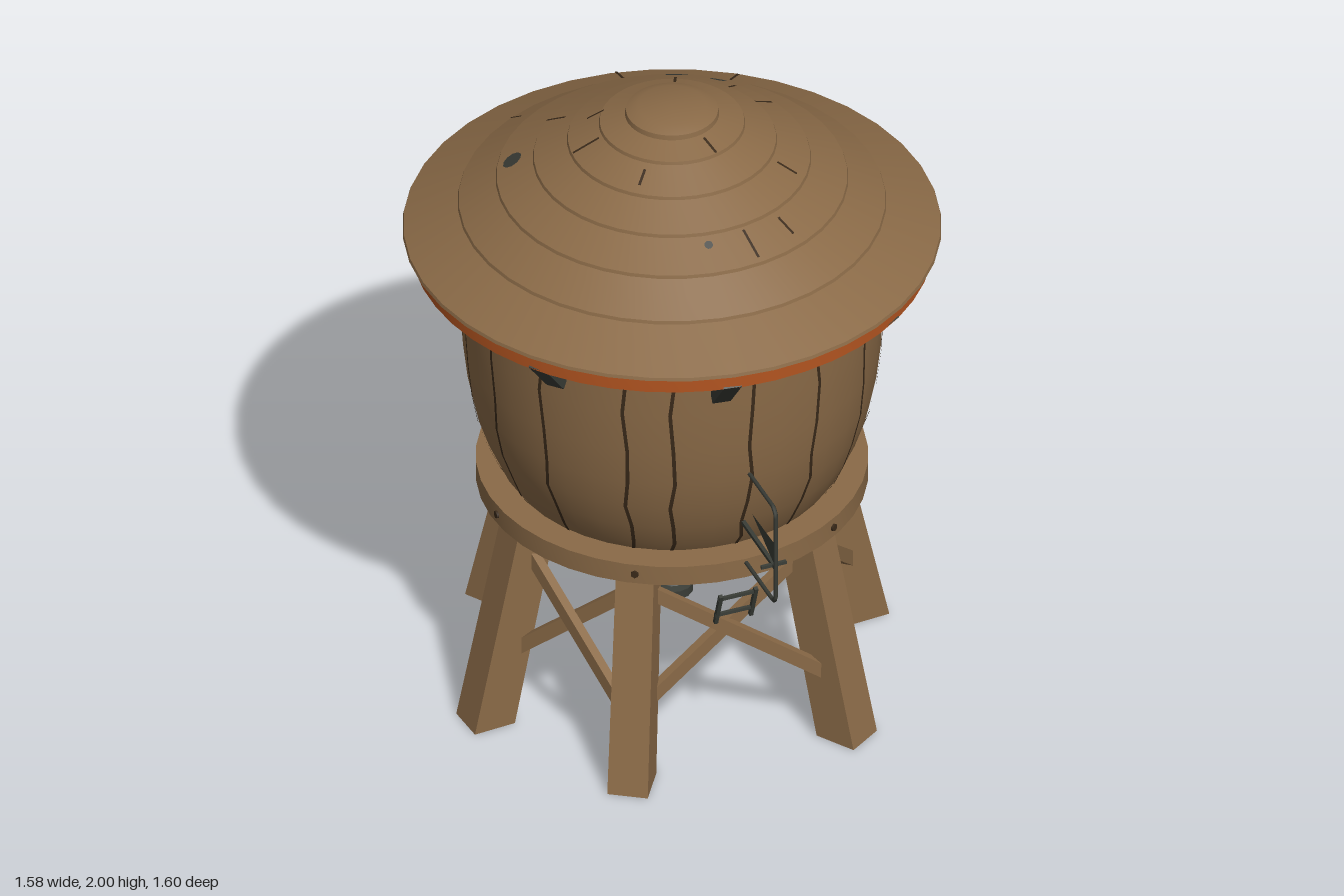
import * as THREE from 'three';
import { toCreasedNormals } from 'three/addons/utils/BufferGeometryUtils.js';

const mat = (name, color, side = THREE.FrontSide) => {
  const m = new THREE.MeshStandardMaterial({ color, side });
  m.name = name;
  return m;
};
const RAD = Math.PI / 180;

export function createModel() {
  const wood = mat('wood', 0x8a6a47);
  const rust = mat('orangePaint', 0xb25420);
  const iron = mat('darkIron', 0x3a3d37, THREE.DoubleSide);
  const groove = mat('grooveBrown', 0x3a2a1a, THREE.DoubleSide);

  const model = new THREE.Group();
  model.name = 'waterTower';
  const tower = new THREE.Group();
  tower.name = 'tower';
  tower.position.z = -0.01;
  model.add(tower);

  const add = (name, geo, material, parent = tower) => {
    const m = new THREE.Mesh(geo, material);
    m.name = name;
    parent.add(m);
    return m;
  };
  // azimuth runs from +z towards +x, in degrees
  const polar = (az, r, y) => new THREE.Vector3(r * Math.sin(az * RAD), y, r * Math.cos(az * RAD));
  const lathe = (name, pts, material, from = 0, sweep = 360, segs = 40) => add(name, toCreasedNormals(
    new THREE.LatheGeometry(pts.map(p => new THREE.Vector2(...p)), segs, from * RAD, sweep * RAD), 0.5), material);
  // straight square timber or bar between two points
  const beam = (name, a, b, w, h, material, parent = tower) => {
    const m = add(name, new THREE.BoxGeometry(w, h, a.distanceTo(b)), material, parent);
    m.position.copy(a).lerp(b, 0.5);
    m.lookAt(b);
    return m;
  };
  // thin strip lying on a turned surface, following its profile
  const ribbon = (name, pts, az, width, material, wobble = 0) => {
    const pos = [], idx = [];
    pts.forEach(([r, y], i) => {
      const mid = az + wobble * Math.sin(i * 2.1 + az);
      const half = width / 2 / r / RAD;
      for (const s of [-1, 1]) pos.push(...polar(mid + s * half, r + 0.004, y + 0.003).toArray());
      if (i) idx.push(2 * i - 2, 2 * i - 1, 2 * i + 1, 2 * i - 2, 2 * i + 1, 2 * i);
    });
    const g = new THREE.BufferGeometry();
    g.setAttribute('position', new THREE.Float32BufferAttribute(pos, 3));
    g.setIndex(idx);
    g.computeVertexNormals();
    return add(name, g, material);
  };

  // Tank
  const tankProfile = [[0.475, 0.73], [0.515, 0.79], [0.55, 0.87], [0.58, 0.96], [0.6, 1.06],
    [0.614, 1.18], [0.62, 1.32], [0.621, 1.45], [0.62, 1.6]];
  lathe('tank', tankProfile, wood);
  lathe('tankFloor', [[0, 0.7], [0.5, 0.7]], iron);
  const wide = [93, 114, 157, 207];
  for (const az of [0, 21, 43, 60, 76, 93, 114, 128, 146, 157, 172, 190, 207, 225, 245, 262, 280, 300, 325, 338]) {
    const big = wide.includes(az);
    ribbon('plankSeam', tankProfile, az, big ? 0.022 : 0.011, big ? iron : groove, 0.8);
  }

  // Worn patch under the eaves at the back, with a ragged lower edge
  const patch = new THREE.LatheGeometry(
    [new THREE.Vector2(0.627, 1.47), new THREE.Vector2(0.627, 1.56)], 32, 88 * RAD, 112 * RAD);
  const pp = patch.attributes.position;
  for (let i = 0; i < pp.count; i += 2) pp.setY(i, 1.475 + 0.025 * Math.sin(i * 0.9) + 0.012 * Math.sin(i * 2.3));
  add('wornPatch', patch, iron);

  // Stepped roof: each tier overlaps the one below with a small lip
  const tiers = [[0.79, 1.565], [0.628, 1.655], [0.517, 1.74], [0.408, 1.81], [0.308, 1.875], [0.215, 1.935]];
  const roof = [[0.6, 1.6], [0.755, 1.555]];
  tiers.forEach(([r, y], i) => {
    const next = tiers[i + 1] || [0.135, 1.975];
    roof.push([r, y], [r - 0.003, y + 0.01], [next[0] - 0.02, next[1] + 0.003]);
  });
  lathe('roof', roof, wood);
  lathe('roofCap', [[0.12, 1.965], [0.138, 1.97], [0.135, 1.985], [0.1, 2], [0, 2]], wood);

  // Height of the roof surface at a radius
  const roofY = r => {
    let i = tiers.findIndex((t, k) => !tiers[k + 1] || r > tiers[k + 1][0]);
    const a = tiers[i], b = tiers[i + 1] || [0.135, 1.975];
    return a[1] + 0.01 + (b[1] - a[1] - 0.007) * (a[0] - r) / (a[0] - b[0] + 0.02);
  };
  // Dark holes in the shingles
  for (const [x, z, s] of [[0.19, -0.43, 0.036], [0.29, -0.35, 0.026], [-0.42, -0.21, 0.032], [-0.06, 0.43, 0.013]]) {
    const r = Math.hypot(x, z);
    const hole = add('roofHole', new THREE.CircleGeometry(s, 10), iron);
    hole.position.set(x, roofY(r) + 0.005, z);
    hole.lookAt(new THREE.Vector3(x + 0.55 * x / r, roofY(r) + 0.005 + 0.85, z + 0.55 * z / r));
  }
  // Short cracks between shingles
  for (const [az, r0, r1] of [[170, 0.64, 0.77], [143, 0.66, 0.76], [208, 0.57, 0.61], [223, 0.34, 0.4],
    [236, 0.2, 0.25], [128, 0.32, 0.37], [108, 0.31, 0.38], [318, 0.23, 0.28], [25, 0.42, 0.48],
    [8, 0.41, 0.5], [15, 0.15, 0.21], [50, 0.32, 0.38], [155, 0.16, 0.21], [265, 0.22, 0.3]]) {
    ribbon('roofCrack', [[r1, roofY(r1)], [r0, roofY(r0)]], az, 0.008, groove);
  }

  // Painted band below the eaves, bare wood for a stretch at the back
  const band = [[0.725, 1.51], [0.767, 1.51], [0.767, 1.566], [0.725, 1.566], [0.725, 1.51]];
  lathe('eaveBandPainted', band, rust, 215, 292);
  lathe('eaveBandBare', band, wood, 147, 68, 8);

  // Brackets holding the eaves
  for (let k = 0; k < 8; k++) {
    const az = -9 + 45 * k;
    beam('eaveBracket', polar(az, 0.625, 1.385), polar(az, 0.745, 1.535), 0.055, 0.05, iron);
  }

  // Platform ring
  lathe('platformRing', [[0.43, 0.685], [0.575, 0.685], [0.575, 0.75], [0.43, 0.75], [0.43, 0.685]], wood);

  // Splayed legs: foot and top positions, in order around the tower
  const legs = [
    [0.34, 0.52, 0.26, 0.38], [0.615, -0.05, 0.465, -0.04], [0.34, -0.535, 0.26, -0.385],
    [-0.34, -0.535, -0.26, -0.385], [-0.61, 0.05, -0.465, 0.04], [-0.34, 0.52, -0.26, 0.38]];
  const legAt = (l, y) => new THREE.Vector3(
    THREE.MathUtils.lerp(l[0], l[2], y / 0.69), y, THREE.MathUtils.lerp(l[1], l[3], y / 0.69));
  legs.forEach((l, i) => {
    const az = Math.atan2(l[0], l[1]);
    const g = new THREE.BoxGeometry(0.115, 0.69, 0.125).rotateY(az).translate(0, 0.345, 0);
    const p = g.attributes.position;
    for (let k = 0; k < p.count; k++) {
      const c = legAt(l, p.getY(k));
      const s = 1.05 - 0.1 * p.getY(k);
      p.setXYZ(k, p.getX(k) * s + c.x, c.y, p.getZ(k) * s + c.z);
    }
    g.computeVertexNormals();
    add('leg', g, [wood, wood, wood, iron, wood, wood]);
    const bolt = add('ringBolt', new THREE.CylinderGeometry(0.012, 0.012, 0.012, 6).rotateX(Math.PI / 2), groove);
    bolt.position.copy(polar(az / RAD, 0.574, 0.718));
    bolt.rotation.y = az;
    // Cross braces to the next leg
    const n = legs[(i + 1) % 6];
    const out = legAt(l, 0.4).add(legAt(n, 0.4)).setY(0).normalize().multiplyScalar(0.012);
    beam('crossBrace', legAt(l, 0.61).add(out), legAt(n, 0.2).add(out), 0.028, 0.042, wood);
    beam('crossBrace', legAt(l, 0.2).sub(out), legAt(n, 0.61).sub(out), 0.028, 0.042, wood);
  });

  // Drain pipe under the tank
  lathe('drainPipe', [[0, 0.25], [0.04, 0.25], [0.045, 0.27], [0.063, 0.272], [0.063, 0.3], [0.04, 0.305],
    [0.027, 0.32], [0.027, 0.61], [0.1, 0.612], [0.13, 0.64], [0.13, 0.7]], iron, 0, 360, 14);

  // Bent ladder frame on the front
  const ladder = new THREE.Group();
  ladder.name = 'frontLadder';
  model.add(ladder);
  const v = (x, y, z) => new THREE.Vector3(x, y, z);
  const path = new THREE.CurvePath();
  const corners = [v(0, 1.07, 0.57), v(0, 1.072, 0.775), v(0, 1.055, 0.792), v(0, 0.755, 0.792),
    v(0, 0.737, 0.775), v(0, 0.735, 0.48)];
  corners.slice(1).forEach((c, i) => path.add(new THREE.LineCurve3(corners[i], c)));
  add('ladderFrame', new THREE.TubeGeometry(path, 60, 0.007, 6), iron, ladder);
  beam('ladderRung', v(0, 0.866, 0.54), v(0, 0.866, 0.79), 0.012, 0.012, iron, ladder);
  beam('ladderCrossbar', v(-0.04, 0.866, 0.775), v(0.04, 0.866, 0.775), 0.01, 0.01, iron, ladder);
  const plate = new THREE.BufferGeometry().setFromPoints([v(0, 0.945, 0.79), v(0, 0.866, 0.79), v(0, 0.94, 0.61)]);
  plate.computeVertexNormals();
  add('tornPlate', plate, iron, ladder);

  // Broken ladder piece hanging below
  const piece = new THREE.Group();
  piece.name = 'brokenLadder';
  model.add(piece);
  for (const x of [-0.058, 0.053]) {
    beam('brokenRail', v(x, 0.595, 0.51), v(x, 0.475, 0.468), 0.012, 0.012, iron, piece);
  }
  for (const [y, z] of [[0.582, 0.505], [0.51, 0.48]]) {
    beam('brokenRung', v(-0.065, y, z), v(0.06, y, z), 0.01, 0.01, iron, piece);
  }
  return model;
}
